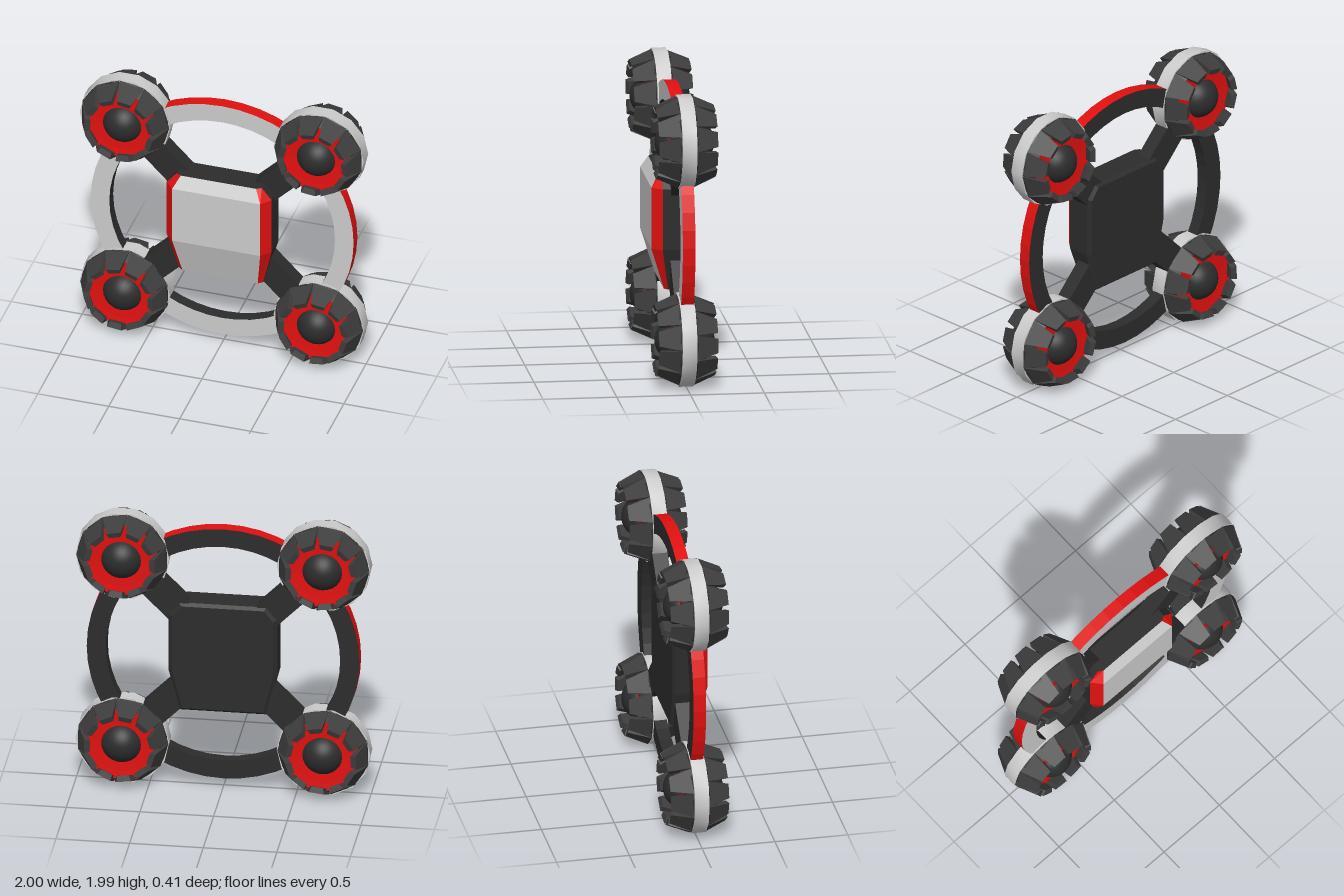
import * as THREE from 'three';
import { toCreasedNormals } from 'three/addons/utils/BufferGeometryUtils.js';

const mat = (color, flat = true) =>
  new THREE.MeshStandardMaterial({ color, flatShading: flat, side: THREE.DoubleSide });
const GREY = mat(0xcccccc), DARK = mat(0x2c2c2c), RUBBER = mat(0x3d3d3d), RED = mat(0xe01010);
const GREY_SMOOTH = mat(0xcccccc, false), DARK_SMOOTH = mat(0x2c2c2c, false);

function part(name, geometry, material, parent) {
  const mesh = new THREE.Mesh(geometry, material);
  mesh.name = name;
  parent.add(mesh);
  return mesh;
}

// Flat-shaded surface from four-cornered faces
function faces(quads) {
  const pos = [];
  for (const [a, b, c, d] of quads) pos.push(...a, ...b, ...c, ...a, ...c, ...d);
  const g = new THREE.BufferGeometry();
  g.setAttribute('position', new THREE.Float32BufferAttribute(pos, 3));
  g.computeVertexNormals();
  return g;
}

// Side walls joining two closed counter-clockwise loops, back loop first
const walls = (a, b) => a.map((p, i) => {
  const j = (i + 1) % a.length;
  return [p, a[j], b[j], b[i]];
});

// Surface of revolution about z from [radius, z] pairs
function spun(profile, sides) {
  const g = new THREE.LatheGeometry(profile.map(([r, z]) => new THREE.Vector2(r, z)), sides);
  return g.rotateX(Math.PI / 2);
}

// One tread block: a wedge that narrows towards the open rim
function lug(angle, pitch) {
  const at = (r, z, half) => [-1, 1].map(s =>
    [r * Math.cos(angle + s * half), r * Math.sin(angle + s * half), z]);
  const [a, b] = at(0.313, 0.05, pitch * 0.49);
  const [c, d] = at(0.245, 0.2, pitch * 0.36);
  const [e, f] = at(0.205, 0.185, pitch * 0.34);
  const [g, h] = at(0.262, 0.07, pitch * 0.46);
  return [[a, b, d, c], [c, d, f, e], [e, f, h, g], [a, c, e, g], [b, h, f, d], [a, g, h, b]];
}

function wheel(mirror) {
  const group = new THREE.Group();
  group.name = 'wheel';
  const band = spun([[0.3, -0.05], [0.318, -0.05], [0.318, 0.05], [0.3, 0.05]], 14);
  band.rotateZ(Math.PI / 2);
  part('wheelBand', toCreasedNormals(band, 0.7), GREY_SMOOTH, group);

  const count = 11, pitch = Math.PI * 2 / count;
  const blocks = [];
  for (let i = 0; i < count; i++) blocks.push(...lug(mirror * (1.69 + pitch / 2) + i * pitch, pitch));
  const treadGeometry = faces(blocks);

  for (const turn of [0, Math.PI]) {
    const side = new THREE.Group();
    side.name = 'wheelSide';
    side.rotation.y = turn;
    part('tread', treadGeometry, RUBBER, side);
    part('treadBase', spun([[0.306, 0.05], [0.26, 0.12]], 22), DARK, side);
    part('rimDisc', spun([[0.26, 0.12], [0.2, 0.115], [0.1, 0.11]], 22), RED, side);
    const dome = new THREE.SphereGeometry(0.146, 24, 10, 0, Math.PI * 2, 0, Math.PI / 2);
    part('hubDome', dome.rotateX(Math.PI / 2).translate(0, 0, 0.057), DARK_SMOOTH, side);
    group.add(side);
  }
  return group;
}

// Ring frame: light front, red outer edge, dark inside and back
function ringFrame() {
  const group = new THREE.Group();
  group.name = 'ringFrame';
  const inner = 0.795, outer = 0.926, z = 0.043, sides = 48;
  part('ringFront', spun([[inner, z], [outer, z]], sides), GREY, group);
  part('ringOuterEdge', spun([[outer, -z], [outer, z]], sides), RED, group);
  part('ringBack', spun([[inner, z], [inner, -z], [outer, -z]], sides), DARK, group);
  return group;
}

// Body: octagonal dark shell, red bevelled sides and a folded light front panel
function body() {
  const group = new THREE.Group();
  group.name = 'body';
  // Half outlines from top to bottom on +x
  const rim = [[0.3, 1.365, 0.11], [0.37, 1.28, 0.11], [0.37, 0.86, 0.11], [0.295, 0.57, 0.065]];
  const panel = [[0.265, 1.365, 0.13], [0.31, 1.28, 0.18], [0.31, 0.86, 0.18], [0.265, 0.57, 0.09]];
  const flip = ([x, y, z]) => [-x, y, z];
  const loop = half => [...half.map(flip), ...[...half].reverse()];
  const front = loop(rim);
  const middle = front.map(([x, y]) => [x, y, -0.045]);
  const back = front.map(([x, y]) => [x * 0.93, 0.968 + (y - 0.968) * 0.95, -0.068]);

  const shell = [...walls(middle, front), ...walls(back, middle)];
  for (let i = 0; i < 3; i++) shell.push([back[i], back[7 - i], back[6 - i], back[i + 1]]);
  // Top and bottom ends of the front cover
  shell.push([rim[0], panel[0], flip(panel[0]), flip(rim[0])]);
  shell.push([flip(rim[3]), flip(panel[3]), panel[3], rim[3]]);
  part('bodyShell', faces(shell), DARK, group);

  const plate = [], right = [], left = [];
  for (let i = 0; i < 3; i++) {
    plate.push([panel[i], flip(panel[i]), flip(panel[i + 1]), panel[i + 1]]);
    const q = [rim[i], panel[i], panel[i + 1], rim[i + 1]];
    left.push(q);
    right.push(q.map(flip).reverse());
  }
  part('frontPanel', faces(plate), GREY, group);
  part('leftBevel', faces(left), RED, group);
  part('rightBevel', faces(right), RED, group);
  return group;
}

export function createModel() {
  const model = new THREE.Group();
  model.name = 'fourWheelVehicle';
  model.add(body());

  const ring = ringFrame();
  ring.position.y = 1;
  model.add(ring);

  // Diagonal arms with a wheel at each end
  for (const sx of [-1, 1]) {
    for (const sy of [-1, 1]) {
      const arm = part('arm', new THREE.BoxGeometry(0.75, 0.188, 0.105), DARK, model);
      arm.position.set(sx * 0.4, 1 + sy * 0.4, 0.003);
      arm.rotation.z = sx * sy * Math.PI / 4;

      const w = wheel(1);
      w.scale.x = -sx * sy;
      w.position.set(sx * 0.683, 1 + sy * 0.684, 0.002);
      model.add(w);
    }
  }
  return model;
}
